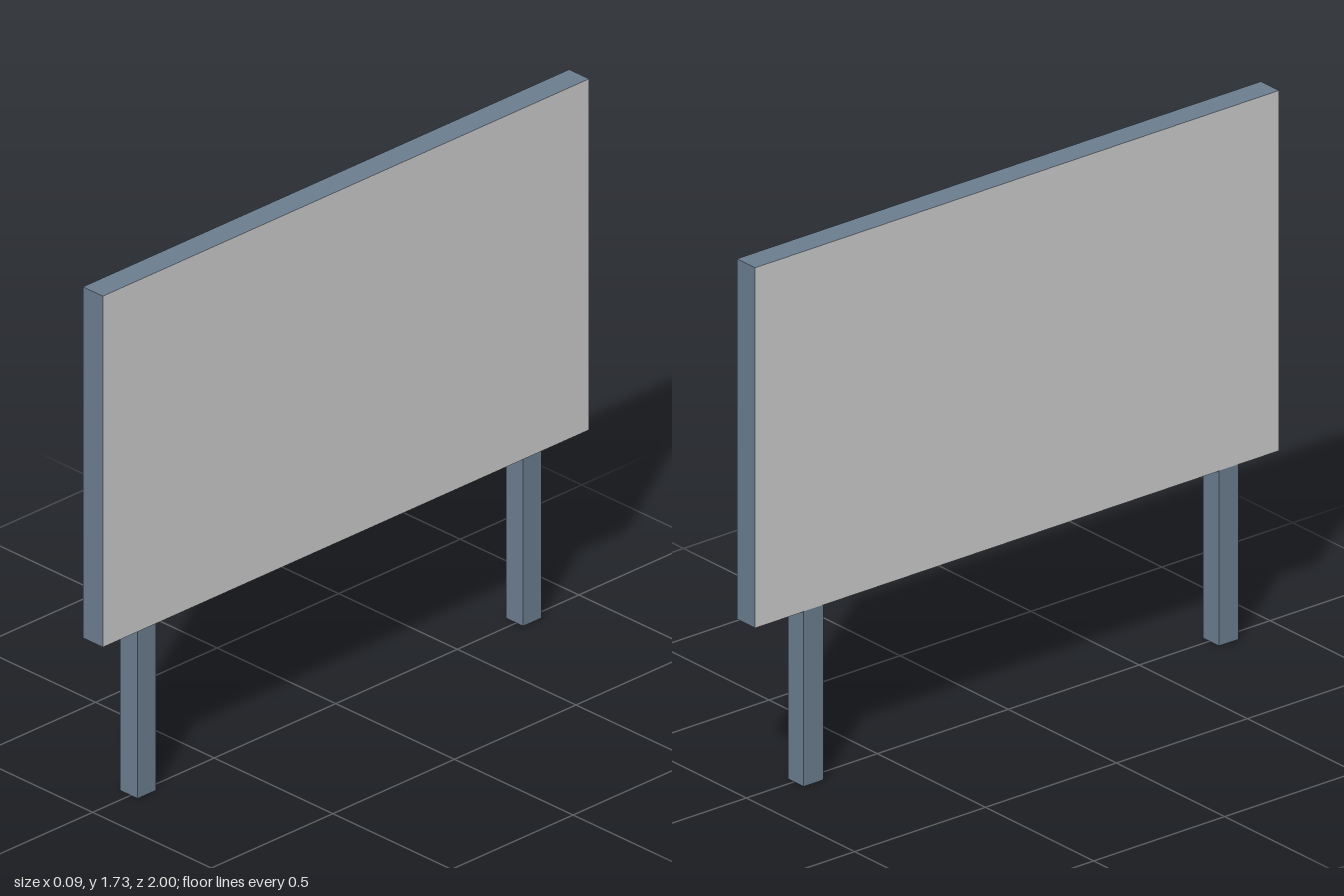
import * as THREE from 'three';

export function createModel() {
  const model = new THREE.Group();
  model.name = 'billboard';

  const slate = new THREE.MeshStandardMaterial({ name: 'slateFrame', color: 0x6b7d8f });
  const slateLeg = slate; // legs share the frame colour
  slateLeg.side = THREE.DoubleSide;
  slateLeg.flatShading = true;
  const grey = new THREE.MeshStandardMaterial({ name: 'greyBoard', color: 0xcccccc });

  // Board: grey on both broad faces, slate around the rim
  const bottom = 0.5625, top = 1.725;
  const board = new THREE.Mesh(
    new THREE.BoxGeometry(0.084, top - bottom, 2),
    [grey, grey, slate, slate, slate, slate]
  );
  board.name = 'board';
  board.position.set(0.001, (top + bottom) / 2, 0);
  model.add(board);

  // Legs: square tubes, open at the ends, slightly proud of the board on -x
  const legHeight = 0.565;
  const legGeometry = new THREE.CylinderGeometry(Math.SQRT1_2, Math.SQRT1_2, 1, 4, 1, true);
  legGeometry.rotateY(Math.PI / 4);
  legGeometry.scale(0.073, legHeight, 0.075);
  for (const [name, z] of [['frontLeg', 0.806], ['backLeg', -0.78]]) {
    const leg = new THREE.Mesh(legGeometry, slateLeg);
    leg.name = name;
    leg.position.set(-0.0075, legHeight / 2, z);
    model.add(leg);
  }

  return model;
}
